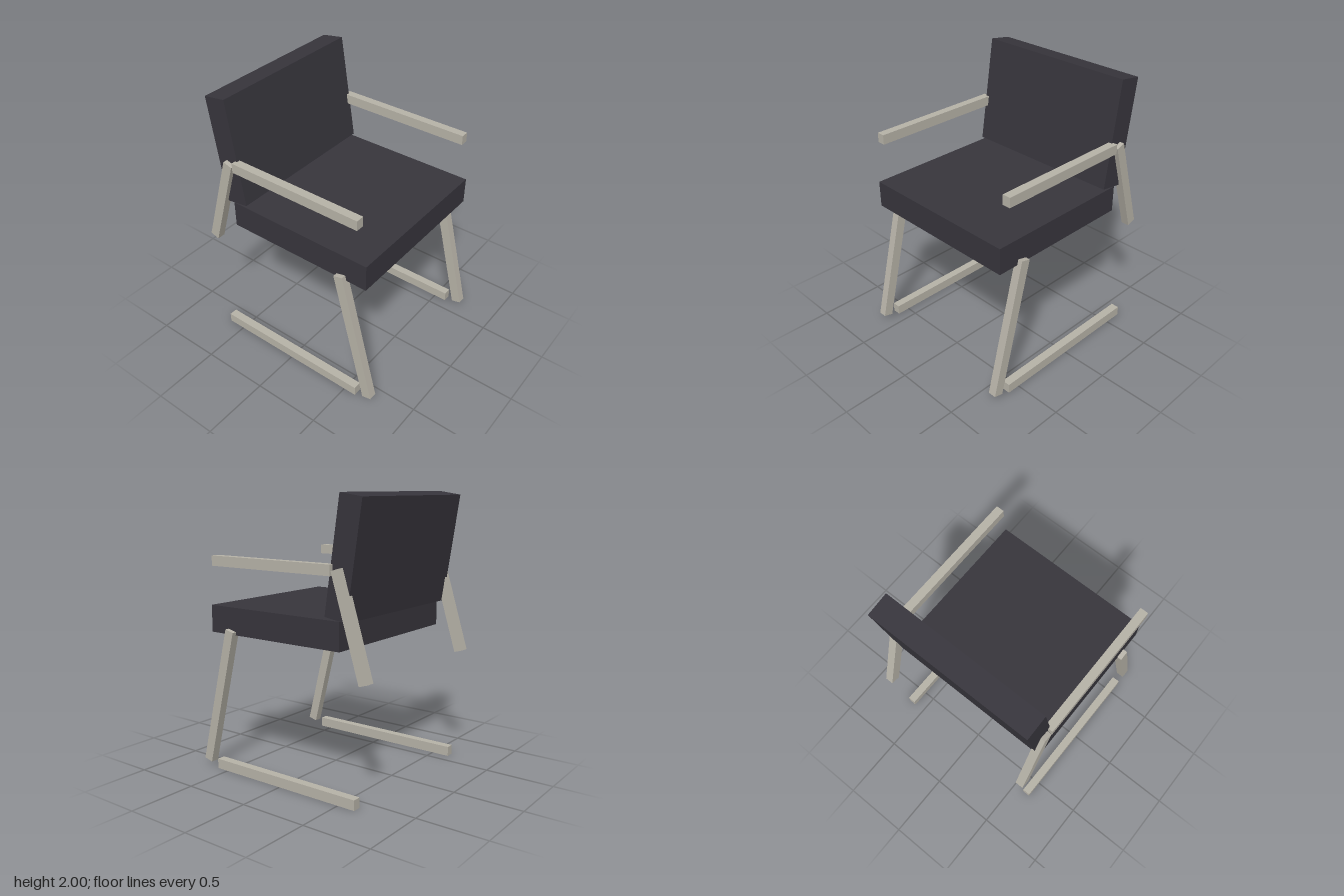
import * as THREE from 'three';

export function createModel() {
  const model = new THREE.Group();
  model.name = 'armchair';

  const upholstery = new THREE.MeshStandardMaterial({ color: 0x37353c });
  upholstery.name = 'charcoal upholstery';
  const frame = new THREE.MeshStandardMaterial({ color: 0xb6b2a7 });
  frame.name = 'warm grey frame';

  // A box in the given place, leaned about the x axis
  function addBox(name, material, [w, h, d], [x, y, z], lean = 0) {
    const mesh = new THREE.Mesh(new THREE.BoxGeometry(w, h, d), material);
    mesh.name = name;
    mesh.position.set(x, y, z);
    mesh.rotation.x = lean;
    model.add(mesh);
  }

  // Cushions
  addBox('seat', upholstery, [1.226, 0.195, 1.132], [0, 1.108, 0.079]);
  addBox('backrest', upholstery, [1.226, 0.785, 0.171], [0, 1.6, -0.514], -0.15);

  // Square-section side frames, mirrored
  const bar = 0.072;
  const width = 0.061;
  for (const [side, s] of [['left', 1], ['right', -1]]) {
    const x = s * 0.617;
    addBox(side + 'Armrest', frame, [width, bar, 1.032], [x, 1.526, 0.079]);
    addBox(side + 'FrontLeg', frame, [width, 1.03, bar], [x, 0.543, 0.57], -0.245);
    addBox(side + 'BackSupport', frame, [width, 0.733, bar], [x, 1.183, -0.588], 0.3);
    addBox(side + 'FloorRunner', frame, [width, bar, 1.227], [x, bar / 2, -0.019]);
  }

  return model;
}
